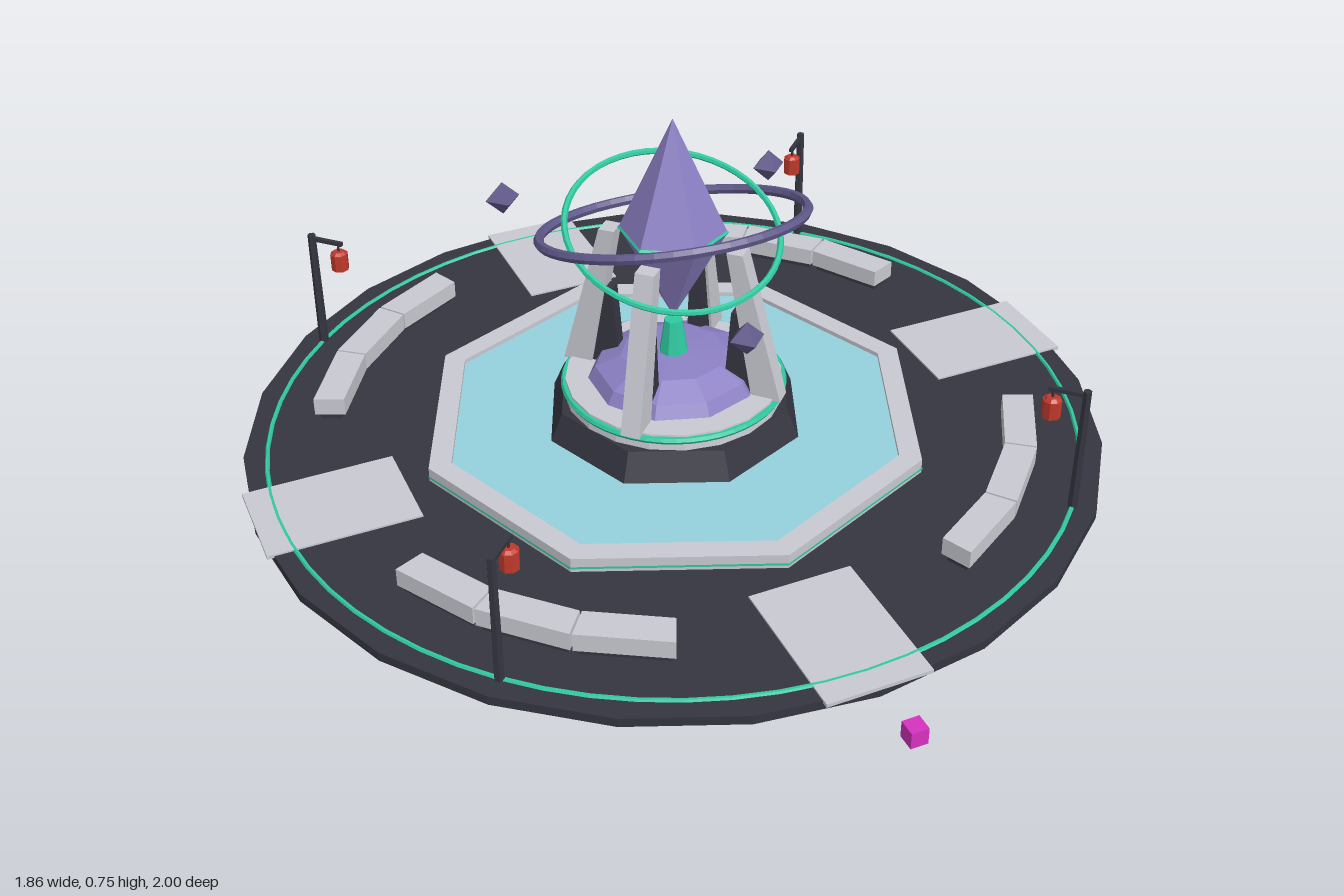
import * as THREE from 'three';

const mat = (color) => new THREE.MeshStandardMaterial({ color, flatShading: true });
const MAT = {
  dark: mat(0x353541), light: mat(0xc8c9d1), purple: mat(0x8c80c4), violet: mat(0x625a8c),
  teal: mat(0x2fc9a0), water: mat(0x94d0dd), red: mat(0xc0392b), magenta: mat(0xd633c0),
};

function add(parent, name, geometry, material, x = 0, y = 0, z = 0) {
  const mesh = new THREE.Mesh(geometry, material);
  mesh.name = name;
  mesh.position.set(x, y, z);
  parent.add(mesh);
  return mesh;
}

// Turned shape from [radius, height] pairs, listed bottom to top on the outside
const lathe = (pts, sides) => new THREE.LatheGeometry(pts.map(([r, y]) => new THREE.Vector2(r, y)), sides);

// Flat-lying ring
const ring = (r, tube, sides = 48) => new THREE.TorusGeometry(r, tube, 6, sides).rotateX(Math.PI / 2);

// Straight-sided block between two radii and two angles
function arcBlock(rIn, rOut, a0, a1, height) {
  const at = (r, a) => new THREE.Vector2(r * Math.cos(a), r * Math.sin(a));
  const shape = new THREE.Shape([at(rIn, a0), at(rOut, a0), at(rOut, a1), at(rIn, a1)]);
  return new THREE.ExtrudeGeometry(shape, { depth: height, bevelEnabled: false }).rotateX(-Math.PI / 2);
}

// Upright plate from [radius, height] outline, standing in the x-y plane
function fin(pts, thickness) {
  const shape = new THREE.Shape(pts.map(([r, y]) => new THREE.Vector2(r, y)));
  return new THREE.ExtrudeGeometry(shape, { depth: thickness, bevelEnabled: false }).translate(0, 0, -thickness / 2);
}

function bench() {
  const g = new THREE.Group();
  g.name = 'bench';
  const step = THREE.MathUtils.degToRad(14.5);
  for (let i = -1; i <= 1; i++) {
    const a0 = (i - 0.5) * step + 0.003, a1 = (i + 0.5) * step - 0.003;
    add(g, 'benchSeat', arcBlock(0.72, 0.787, a0, a1, 0.04), MAT.light, 0, 0.035);
    add(g, 'benchBase', arcBlock(0.73, 0.777, a0 + 0.01, a1 - 0.01, 0.017), MAT.dark, 0, 0.019);
  }
  return g;
}

function lantern() {
  const g = new THREE.Group();
  g.name = 'lantern';
  add(g, 'lanternPost', new THREE.CylinderGeometry(0.009, 0.011, 0.285, 6), MAT.dark, 0.88, 0.1625);
  add(g, 'lanternArm', new THREE.BoxGeometry(0.085, 0.009, 0.009), MAT.dark, 0.845, 0.295);
  add(g, 'lanternHook', new THREE.CylinderGeometry(0.003, 0.003, 0.025, 5), MAT.dark, 0.813, 0.284);
  add(g, 'lanternLamp', new THREE.CylinderGeometry(0.02, 0.02, 0.04, 8), MAT.red, 0.813, 0.25);
  add(g, 'lanternCap', new THREE.CylinderGeometry(0.012, 0.018, 0.006, 8), MAT.red, 0.813, 0.273);
  return g;
}

function pillar() {
  const g = new THREE.Group();
  g.name = 'pillar';
  add(g, 'pillarLeg', fin([[0.185, 0.135], [0.25, 0.135], [0.16, 0.475], [0.125, 0.475]], 0.042), MAT.light);
  add(g, 'pillarBrace', fin([[0.12, 0.135], [0.2, 0.135], [0.155, 0.33], [0.135, 0.33]], 0.03), MAT.dark);
  return g;
}

export function createModel() {
  const model = new THREE.Group();
  model.name = 'plazaFountain';
  const plaza = new THREE.Group();
  plaza.name = 'plaza';
  plaza.position.z = -0.07;
  model.add(plaza);

  // Ground disc with an inlaid ring
  add(plaza, 'ground', new THREE.CylinderGeometry(0.93, 0.93, 0.02, 24), MAT.dark, 0, 0.01);
  add(plaza, 'groundRing', ring(0.88, 0.005, 64), MAT.teal, 0, 0.02);

  // Four paths on the axes; benches, lanterns and pillars on the diagonals
  for (let i = 0; i < 4; i++) {
    const quarter = new THREE.Group();
    quarter.name = 'quarter';
    quarter.rotation.y = i * Math.PI / 2;
    add(quarter, 'path', new THREE.BoxGeometry(0.322, 0.008, 0.222), MAT.light, 0.769, 0.02);
    const diagonal = new THREE.Group();
    diagonal.name = 'diagonal';
    diagonal.rotation.y = Math.PI / 4;
    diagonal.add(bench(), lantern(), pillar());
    quarter.add(diagonal);
    plaza.add(quarter);
  }

  // Octagonal pool
  add(plaza, 'poolRim', lathe([[0.56, 0.018], [0.56, 0.052], [0.51, 0.052], [0.51, 0.018], [0.56, 0.018]], 8), MAT.light);
  add(plaza, 'poolTrim', lathe([[0.562, 0.028], [0.562, 0.033]], 8), MAT.teal);
  add(plaza, 'water', new THREE.CylinderGeometry(0.512, 0.512, 0.02, 8), MAT.water, 0, 0.032);

  // Stepped pedestal with a domed cap and spout
  add(plaza, 'pedestalBase', new THREE.CylinderGeometry(0.26, 0.29, 0.07, 8), MAT.dark, 0, 0.07);
  add(plaza, 'pedestalTop', new THREE.CylinderGeometry(0.235, 0.24, 0.038, 20), MAT.light, 0, 0.121);
  add(plaza, 'pedestalRing', ring(0.237, 0.008), MAT.teal, 0, 0.129);
  add(plaza, 'dome', lathe([[0.187, 0.138], [0.17, 0.168], [0.115, 0.194], [0, 0.203]], 10), MAT.purple);
  add(plaza, 'spout', new THREE.CylinderGeometry(0.02, 0.033, 0.085, 8), MAT.teal, 0, 0.235);

  // Floating crystal with a banded girdle
  add(plaza, 'crystal', lathe([[0, 0.285], [0.114, 0.495], [0, 0.75]], 6), MAT.purple);
  add(plaza, 'crystalBand', lathe([[0.113, 0.49], [0.117, 0.495], [0.113, 0.5]], 6), MAT.teal);

  // Two tilted orbit rings
  add(plaza, 'outerRing', ring(0.28, 0.011), MAT.violet, 0, 0.513).rotation.x = -0.3;
  add(plaza, 'innerRing', ring(0.226, 0.007), MAT.teal, 0, 0.497).rotation.x = 0.34;

  // Three orbiting shards at different heights
  [0.437, 0.495, 0.55].forEach((y, i) => {
    const a = i * Math.PI * 2 / 3;
    add(plaza, 'shard', new THREE.OctahedronGeometry(0.037), MAT.violet, 0.355 * Math.sin(a), y, 0.355 * Math.cos(a));
  });

  // Small marker cube in front of the plaza
  add(model, 'markerCube', new THREE.BoxGeometry(0.036, 0.036, 0.036), MAT.magenta, 0, 0.022, 0.982);
  return model;
}
